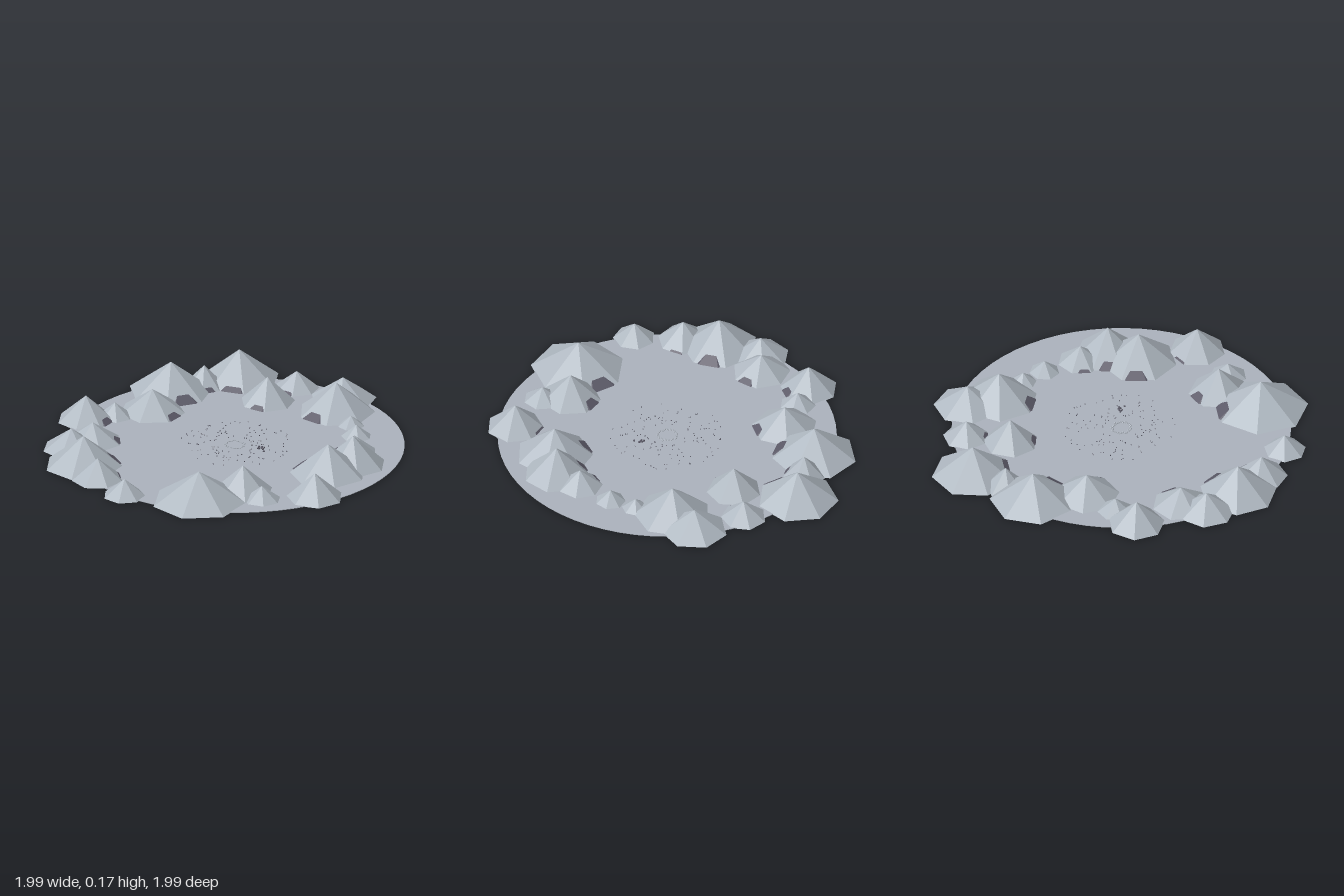
import * as THREE from 'three';

const flat = (name, color) => {
  const m = new THREE.MeshStandardMaterial({ color });
  m.name = name;
  m.flatShading = true;
  return m;
};

export function createModel() {
  const group = new THREE.Group();
  const ground = flat('ground grey', 0xabb2bc);
  const stone = flat('mountain grey', 0xafb8c1);
  const dark = flat('dark rock', 0x5c5a68);
  const cx = 0.06, cz = 0.04;

  const add = (name, geo, mat, x, y, z, parent = group) => {
    const mesh = new THREE.Mesh(geo, mat);
    mesh.name = name;
    mesh.position.set(x, y, z);
    parent.add(mesh);
    return mesh;
  };

  // Small seeded generator for the scattered stones
  let seed = 7;
  const rand = () => (seed = (seed * 16807) % 2147483647) / 2147483647;

  // Thin round floor
  add('floor', new THREE.CylinderGeometry(0.905, 0.905, 0.003, 64), ground, cx, 0.0025, cz);

  // Mountains: x, z, radius, height, direction of one corner in degrees from +x towards +z
  const mountains = [
    [0, -0.76, 0.23, 0.17, -90], [0.4, -0.785, 0.22, 0.17, 2],
    [0.19, -0.76, 0.115, 0.12, -90], [-0.19, -0.54, 0.18, 0.13, 82],
    [-0.56, -0.565, 0.155, 0.14, -75], [-0.4, -0.55, 0.1, 0.08, -100],
    [0.43, -0.44, 0.15, 0.145, -88], [0.64, -0.555, 0.125, 0.1, 19],
    [0.82, -0.335, 0.18, 0.125, 14], [0.725, -0.185, 0.21, 0.17, -80],
    [0.73, 0.02, 0.075, 0.06, 30], [0.705, 0.165, 0.085, 0.07, 0],
    [0.62, 0.36, 0.125, 0.1, -6], [0.555, 0.51, 0.18, 0.17, 0],
    [0.39, 0.57, 0.21, 0.17, 50], [0.21, 0.84, 0.155, 0.14, 0],
    [-0.385, 0.665, 0.255, 0.17, 80], [-0.12, 0.63, 0.165, 0.15, 4],
    [-0.065, 0.77, 0.105, 0.08, 55], [-0.73, 0.455, 0.115, 0.095, 75],
    [-0.785, 0.2, 0.14, 0.12, 140], [-0.79, 0, 0.21, 0.17, 180],
    [-0.63, -0.28, 0.16, 0.11, -58], [-0.77, -0.235, 0.155, 0.115, 184],
  ];
  const range = new THREE.Group();
  range.name = 'mountainRing';
  group.add(range);
  for (const [x, z, r, h, deg] of mountains) {
    const peak = add('mountain', new THREE.ConeGeometry(r, h, 7), stone, x, 0.001 + h / 2, z, range);
    peak.rotation.y = Math.PI / 2 - THREE.MathUtils.degToRad(deg);
    // Dark foot peeping out on the side that faces the middle
    if (r < 0.11) continue;
    const d = Math.hypot(cx - x, cz - z), k = 0.4 * r / d;
    const foot = add('mountainFoot', new THREE.ConeGeometry(0.62 * r, 0.5 * h, 7), dark,
      x + (cx - x) * k, 0.25 * h, z + (cz - z) * k, range);
    foot.rotation.y = peak.rotation.y;
  }

  // Ring of small stones in the middle
  const pebble = new THREE.DodecahedronGeometry(0.006, 0);
  for (let i = 0; i < 36; i++) {
    const a = i * Math.PI / 18, r = 0.042 + 0.014 * rand();
    add('ringStone', pebble, ground, cx + r * Math.cos(a), 0.004, cz + r * Math.sin(a));
  }

  // Tiny stones scattered around the ring
  const grit = new THREE.TetrahedronGeometry(0.005, 0);
  for (let i = 0; i < 130; i++) {
    const a = rand() * Math.PI * 2, r = 0.09 + 0.22 * rand();
    const s = add('scatteredStone', grit, dark, cx + r * Math.cos(a), 0.006, cz + r * Math.sin(a));
    s.rotation.y = a * 3;
  }

  // Little heap of dark rocks beside the ring
  for (let i = 0; i < 9; i++) {
    const rock = add('heapRock', pebble, dark,
      0.165 + 0.035 * (rand() - 0.5), 0.006 + 0.014 * rand(), 0.17 + 0.06 * (rand() - 0.5));
    rock.rotation.set(i, i * 2, 0);
  }
  return group;
}
